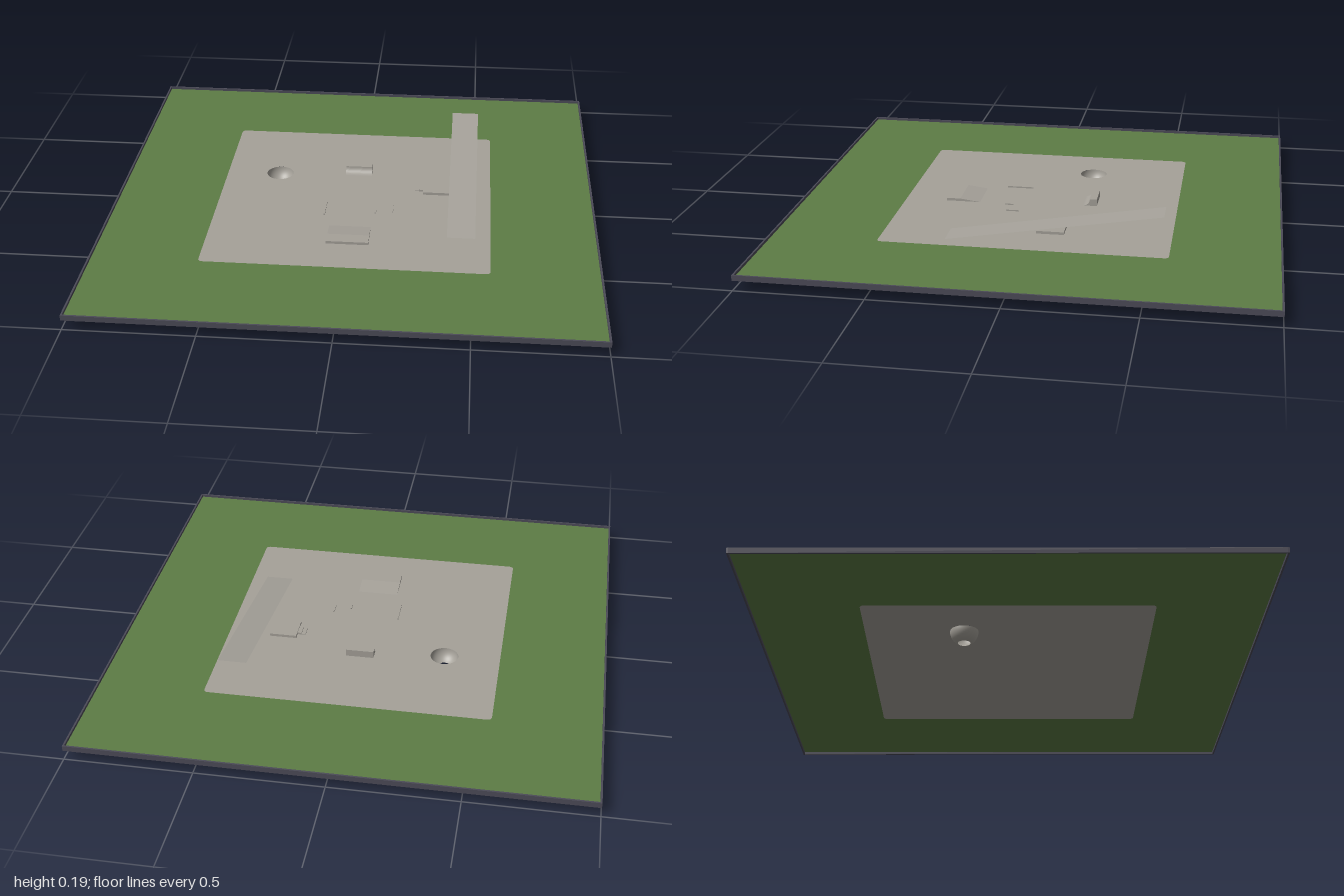
import * as THREE from 'three';

const GROUND = 0.051;

export function createModel() {
  const root = new THREE.Group();
  root.name = 'skatePark';

  const grass = new THREE.MeshStandardMaterial({ color: 0x5d7c45, side: THREE.DoubleSide });
  grass.name = 'grass';
  const concrete = new THREE.MeshStandardMaterial({ color: 0xa5a199, side: THREE.DoubleSide });
  concrete.name = 'concrete';
  const edging = new THREE.MeshStandardMaterial({ color: 0x4c4b58 });
  edging.name = 'darkEdging';

  function add(name, geometry, material, x = 0, y = GROUND, z = 0) {
    const mesh = new THREE.Mesh(geometry, material);
    mesh.name = name;
    mesh.position.set(x, y, z);
    root.add(mesh);
    return mesh;
  }

  // Box standing on the slab, given by its plan limits and height
  function block(name, x0, x1, z0, z1, h) {
    add(name, new THREE.BoxGeometry(x1 - x0, h, z1 - z0), concrete,
      (x0 + x1) / 2, GROUND + h / 2, (z0 + z1) / 2);
  }

  // Side profile (z, y) extruded across x, centred on x = 0
  function profile(name, shape, width, x = 0) {
    const g = new THREE.ExtrudeGeometry(shape, { depth: width, bevelEnabled: false, curveSegments: 10 });
    g.translate(0, 0, -width / 2).rotateY(-Math.PI / 2);
    add(name, g, concrete, x);
  }

  function roundedSquare(Type, s, r) {
    const p = new Type();
    p.moveTo(-s + r, -s);
    p.lineTo(s - r, -s);
    p.quadraticCurveTo(s, -s, s, -s + r);
    p.lineTo(s, s - r);
    p.quadraticCurveTo(s, s, s - r, s);
    p.lineTo(-s + r, s);
    p.quadraticCurveTo(-s, s, -s, s - r);
    p.lineTo(-s, -s + r);
    p.quadraticCurveTo(-s, -s, -s + r, -s);
    return p;
  }

  // Lawn around the slab
  const lawn = new THREE.Shape([[-1, -1], [1, -1], [1, 1], [-1, 1]].map(p => new THREE.Vector2(...p)));
  lawn.holes.push(roundedSquare(THREE.Path, 0.571, 0.02));
  add('lawn', new THREE.ShapeGeometry(lawn).rotateX(-Math.PI / 2), grass);

  // Concrete slab with an opening for the bowl
  const bowlX = -0.343, bowlZ = -0.175, bowlR = 0.057;
  const slab = roundedSquare(THREE.Shape, 0.571, 0.02);
  const opening = new THREE.Path();
  opening.absarc(bowlX, -bowlZ, bowlR, 0, Math.PI * 2, true);
  slab.holes.push(opening);
  add('slab', new THREE.ShapeGeometry(slab, 24).rotateX(-Math.PI / 2), concrete);

  // Border strips
  for (const s of [-1, 1]) {
    add('borderEnd', new THREE.BoxGeometry(2, 0.022, 0.007), edging, 0, GROUND, s * 0.9965);
    add('borderSide', new THREE.BoxGeometry(0.007, 0.022, 1.986), edging, s * 0.9965, GROUND, 0);
  }

  // Sunken round bowl, open at the drain
  const bowlPoints = [];
  const end = Math.acos(0.025 / bowlR);
  for (let i = 0; i <= 10; i++) {
    const a = end * (1 - i / 10);
    bowlPoints.push(new THREE.Vector2(bowlR * Math.cos(a), -bowlR * Math.sin(a)));
  }
  add('bowl', new THREE.LatheGeometry(bowlPoints, 40), concrete, bowlX, GROUND, bowlZ);

  // Long sloping sheet, high at the back
  const rise = 0.142, run = 0.857;
  const ramp = add('longRamp', new THREE.PlaneGeometry(0.114, Math.hypot(rise, run)).rotateX(-Math.PI / 2),
    concrete, 0.453, GROUND + rise / 2, -0.117);
  ramp.rotation.x = Math.atan2(rise, run);

  // Quarter pipe
  const r = 0.029;
  const quarter = new THREE.Shape();
  quarter.moveTo(-0.236, 0);
  quarter.lineTo(-0.207 + r, 0);
  quarter.absarc(-0.207 + r, r, r, -Math.PI / 2, -Math.PI, true);
  quarter.lineTo(-0.236, r);
  quarter.closePath();
  profile('quarterPipe', quarter, 0.114);

  // Low kicker with a flat deck
  const kicker = new THREE.Shape([[0.255, 0], [0.397, 0], [0.397, 0.011], [0.34, 0.011]]
    .map(p => new THREE.Vector2(...p)));
  profile('kicker', kicker, 0.17);

  // Platform and its steps
  block('platform', 0.285, 0.397, -0.145, -0.033, 0.011);
  block('upperStep', 0.268, 0.285, -0.115, -0.061, 0.0075);
  block('lowerStep', 0.251, 0.268, -0.115, -0.061, 0.0037);

  // Low grind rail and two short kerbs
  block('grindRail', -0.117, -0.112, 0.06, 0.172, 0.006);
  block('kerb', 0.093, 0.098, 0.11, 0.145, 0.005);
  block('kerb', 0.163, 0.168, 0.075, 0.13, 0.005);

  return root;
}
